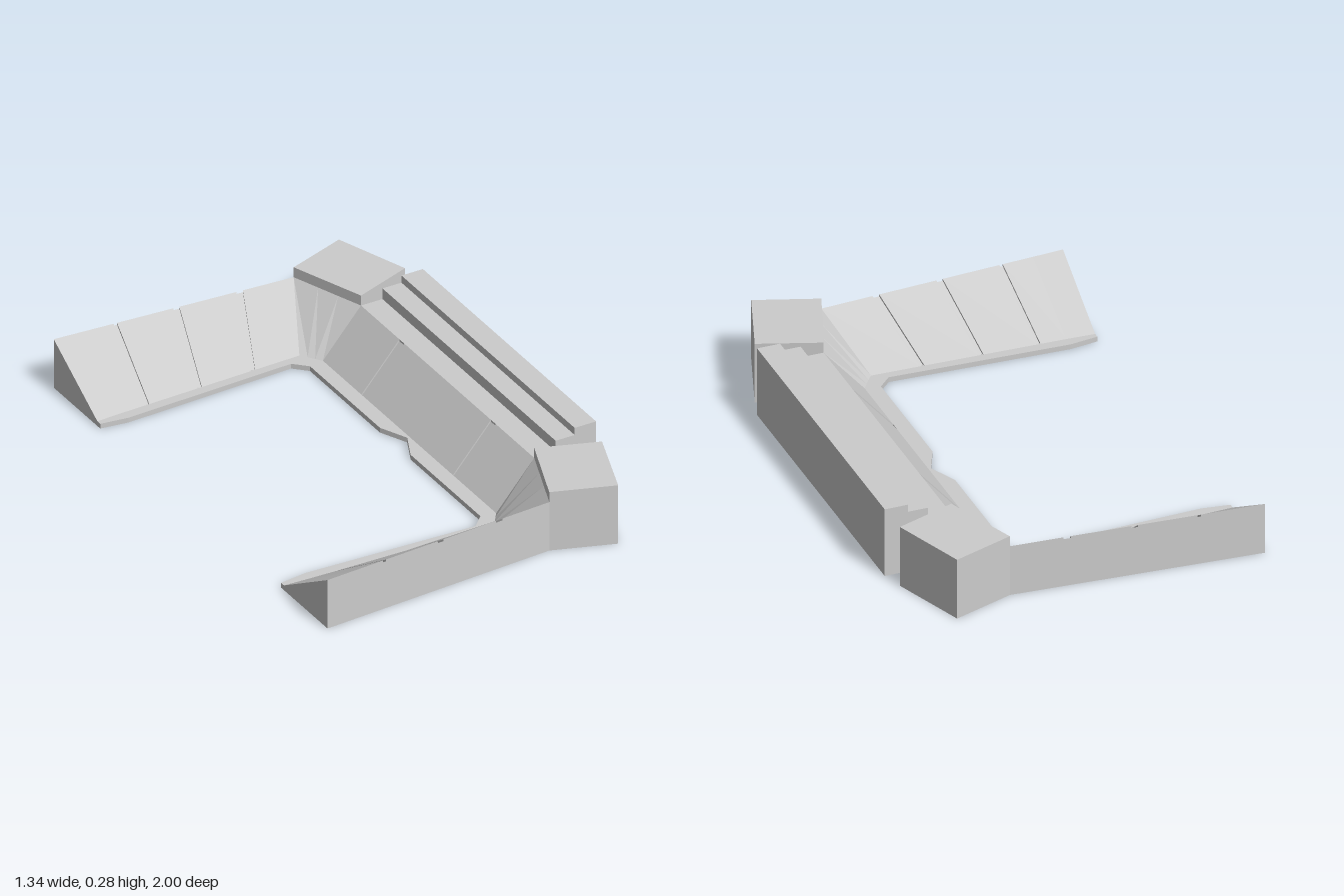
import * as THREE from 'three';

const material = new THREE.MeshStandardMaterial({ color: 0xcccccc, flatShading: true });
const RIM = 0.02, TOP = 0.205, DROP = 0.008;

// Plan stations of half the seating bowl: inner rim, foot of seats, top of seats,
// each as x, z; the last entry is 1 where a sunken aisle starts.
function armStation(footX, topX, aisle = 0) {
  const t = (footX + 0.56) / 0.7;
  return [
    footX, 0.632 + 0.028 * t,
    footX, 0.673 + 0.021 * t,
    topX, 0.98 - 0.067 * (topX + 0.67), aisle,
  ];
}
const half = [
  [-0.67, 0.647, -0.67, 0.668, -0.67, 0.98, 0],
  armStation(-0.56, -0.55),
  armStation(-0.46, -0.428, 1), armStation(-0.447, -0.414),
  armStation(-0.24, -0.187, 1), armStation(-0.222, -0.162),
  armStation(-0.012, 0.068, 1), armStation(0.006, 0.095),
  [0.14, 0.66, 0.195, 0.695, 0.3, 0.915, 0],
  [0.155, 0.645, 0.215, 0.67, 0.34, 0.808, 0],
  [0.172, 0.628, 0.232, 0.645, 0.373, 0.72, 0],
  [0.19, 0.61, 0.25, 0.62, 0.41, 0.62, 0],
  [0.19, 0.345, 0.25, 0.345, 0.41, 0.345, 1],
  [0.19, 0.31, 0.25, 0.31, 0.41, 0.31, 0],
  [0.19, 0.11, 0.25, 0.11, 0.41, 0.11, 0],
  [0.24, 0, 0.25, 0, 0.41, 0, 0],
];

// Closed cross-section of the seating at one station
function section([ix, iz, fx, fz, tx, tz], drop) {
  return [
    [ix, 0, iz], [ix, RIM, iz], [fx, RIM, fz],
    [fx, RIM - drop, fz], [tx, TOP - drop, tz], [tx, 0, tz],
  ];
}

// Solid block between two stations
function seatingBlock(from, to, drop) {
  const a = section(from, drop), b = section(to, drop);
  const n = a.length, pos = [];
  const tri = (p, q, r) => pos.push(...p, ...q, ...r);
  for (let i = 0; i < n; i++) {
    const j = (i + 1) % n;
    tri(a[i], a[j], b[j]);
    tri(a[i], b[j], b[i]);
  }
  for (let i = 0; i < n - 2; i++) {
    tri(a[n - 1], a[i + 1], a[i]);
    tri(b[n - 1], b[i], b[i + 1]);
  }
  const g = new THREE.BufferGeometry();
  g.setAttribute('position', new THREE.Float32BufferAttribute(pos, 3));
  g.computeVertexNormals();
  return g;
}

function addMesh(parent, name, geometry) {
  const mesh = new THREE.Mesh(geometry, material);
  mesh.name = name;
  parent.add(mesh);
  return mesh;
}

function extrude(points, depth) {
  const shape = new THREE.Shape(points.map(([x, y]) => new THREE.Vector2(x, y)));
  return new THREE.ExtrudeGeometry(shape, { depth, bevelEnabled: false });
}

export function createModel() {
  const model = new THREE.Group();
  model.name = 'grandstand';

  // Seating bowl, both halves
  const seating = new THREE.Group();
  seating.name = 'seating';
  model.add(seating);
  const flip = ([ix, iz, fx, fz, tx, tz]) => [ix, -iz, fx, -fz, tx, -tz];
  for (let i = 0; i < half.length - 1; i++) {
    const aisle = half[i][6];
    const name = aisle ? 'aisle' : 'seatBlock';
    const drop = aisle ? DROP : 0;
    addMesh(seating, name, seatingBlock(half[i], half[i + 1], drop));
    addMesh(seating, name, seatingBlock(flip(half[i + 1]), flip(half[i]), drop));
  }

  // Stepped main building behind the long side
  const building = extrude([
    [0.41, 0], [0.67, 0], [0.67, 0.28], [0.58, 0.28],
    [0.58, 0.25], [0.5, 0.25], [0.5, TOP], [0.41, TOP],
  ], 1.24);
  building.translate(0, 0, -0.62);
  addMesh(model, 'mainBuilding', building);

  // Angled corner towers
  const plan = [[0.3, 0.915], [0.41, 0.62], [0.645, 0.705], [0.54, 1]];
  for (const side of [1, -1]) {
    const tower = extrude(plan.map(([x, z]) => [x, -side * z]), 0.247);
    tower.rotateX(-Math.PI / 2);
    addMesh(model, 'cornerTower', tower);
  }
  return model;
}
